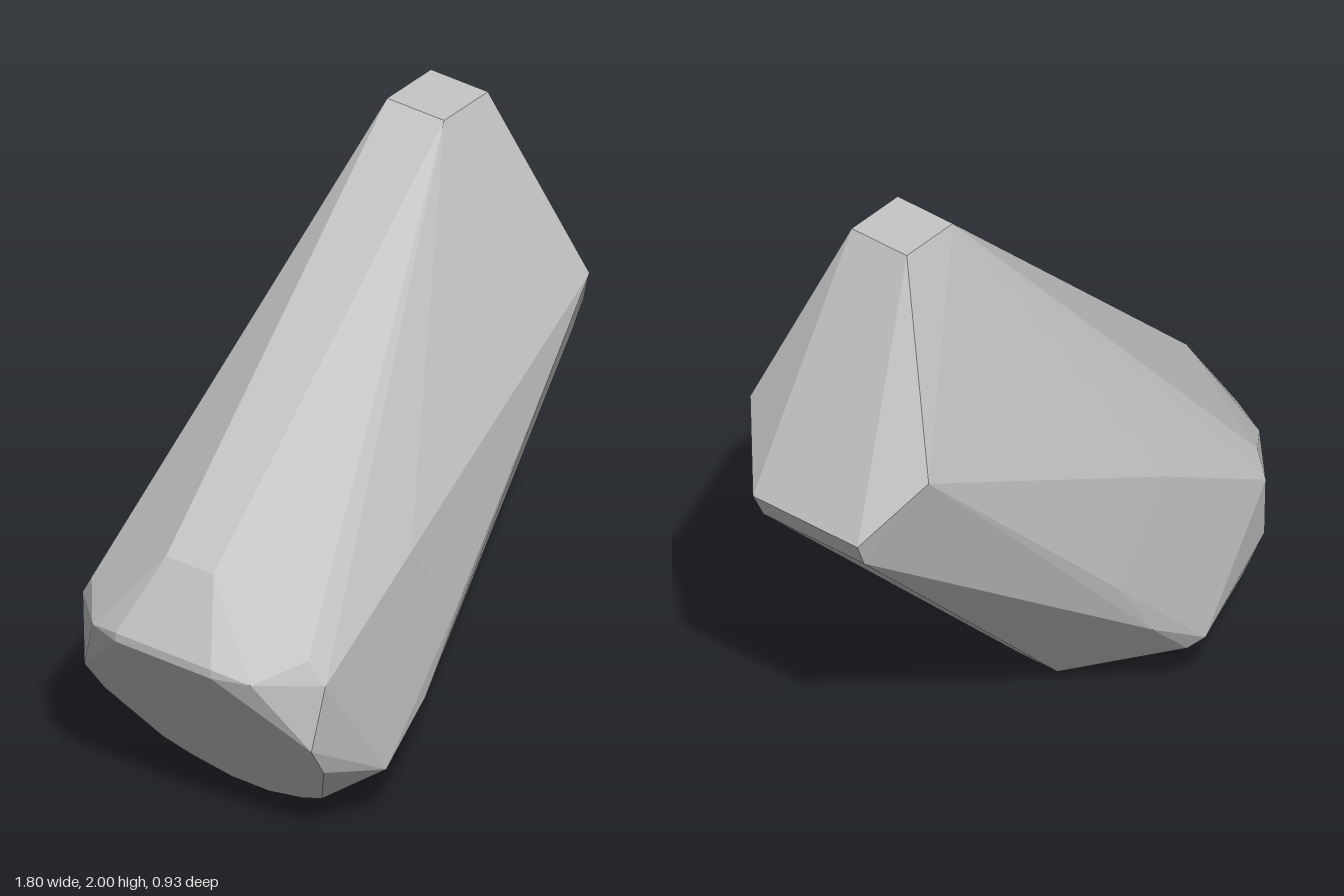
import * as THREE from 'three';
import { ConvexGeometry } from 'three/addons/geometries/ConvexGeometry.js';

// Corners of one half (z > 0); the other half is mirrored
const corners = [
  // narrow flat tip
  [0.34, 2, 0.108], [0.555, 2, 0.108],
  // slanted upper end
  [0.74, 1.37, 0.35], [0.9, 1.155, 0.205], [0.86, 1.07, 0.197],
  // slightly bulged flanks
  [-0.25, 0.89, 0.437], [-0.03, 0.6, 0.442], [-0.19, 0.36, 0.445],
  // shoulder of the lower end
  [-0.77, 0.93, 0.09], [-0.72, 0.72, 0.41], [-0.7, 0.64, 0.46],
  [-0.86, 0.66, 0.3], [-0.9, 0.69, 0.18], [-0.9, 0.66, 0.18],
  // flat base cap and bottom edge
  [-0.73, 0.415, 0.43], [-0.65, 0.3, 0.415], [-0.41, 0.22, 0.467], [-0.37, 0.185, 0.43],
  [-0.51, 0.105, 0.3], [-0.485, 0.063, 0.21], [-0.47, 0.03, 0.07],
  [-0.26, 0, 0.05], [-0.18, 0.04, 0.08],
];

export function createModel() {
  const stone = new THREE.MeshStandardMaterial({ color: 0xc6c6c6 });
  stone.name = 'light stone grey';

  const points = corners.flatMap(([x, y, z]) => [
    new THREE.Vector3(x, y, z),
    new THREE.Vector3(x, y, -z),
  ]);

  // Faceted leaning rock
  const rock = new THREE.Mesh(new ConvexGeometry(points), stone);
  rock.name = 'rock';

  const model = new THREE.Group();
  model.name = 'leaningRock';
  model.add(rock);
  return model;
}
